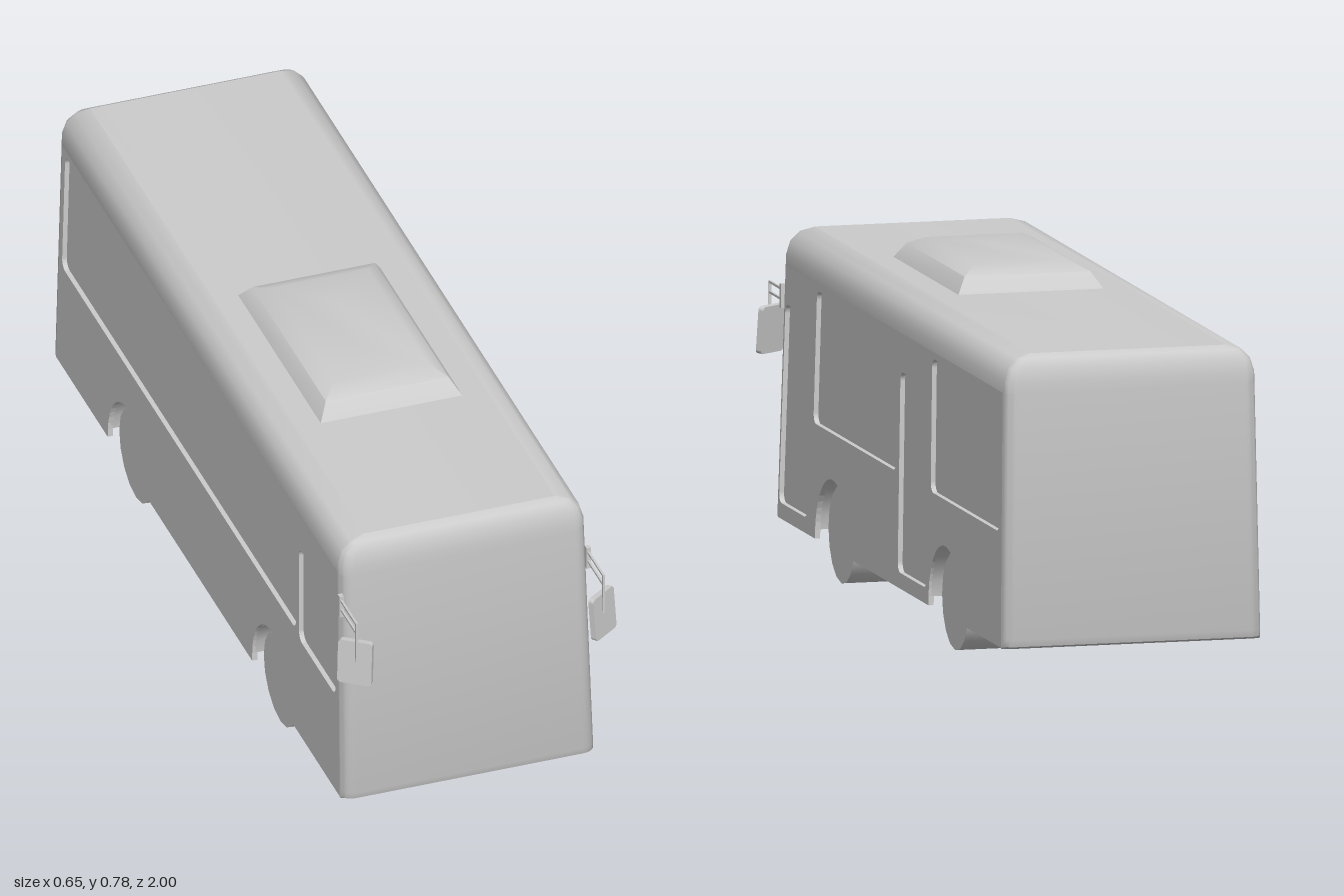
import * as THREE from 'three';
import { toCreasedNormals } from 'three/addons/utils/BufferGeometryUtils.js';

const HALF = 0.295, FRONT = 0.915, BACK = -1, BASE = 0.08, SHOULDER = 0.645, CORNER = 0.03;
const AXLES = [0.445, -0.5], ARCH_Y = 0.1, ARCH_R = 0.132;
const grey = new THREE.MeshStandardMaterial({ color: 0xcccccc, side: THREE.DoubleSide });

function add(parent, name, geometry) {
  const mesh = new THREE.Mesh(geometry, grey);
  mesh.name = name;
  parent.add(mesh);
  return mesh;
}

// Surface through rows of points
function strip(rows, crease = 0.7) {
  const n = rows[0].length, index = [];
  for (let r = 0; r < rows.length - 1; r++) {
    for (let i = 0; i < n - 1; i++) {
      const a = r * n + i, b = a + 1, c = a + n, d = c + 1;
      index.push(a, c, b, b, c, d);
    }
  }
  const g = new THREE.BufferGeometry();
  g.setAttribute('position', new THREE.Float32BufferAttribute(rows.flat(2), 3));
  g.setIndex(index);
  return toCreasedNormals(g, crease);
}

// The body leans inward slightly toward the roof
function lean(g) {
  const p = g.attributes.position;
  for (let i = 0; i < p.count; i++) {
    const t = (p.getY(i) - BASE) / 0.65, z = p.getZ(i);
    p.setX(i, p.getX(i) * (1 - 0.034 * t));
    p.setZ(i, z * (1 - (z > 0 ? 0.049 : 0.02) * t));
  }
  return g;
}

// Plan of one end of the body, from one side round to the other
function endPath(front, y, insetX, insetZ) {
  const s = front ? 1 : -1, end = front ? FRONT : -BACK, pts = [];
  for (let k = 0; k < 14; k++) {
    const a = (k < 7 ? k : k - 1) / 12 * Math.PI;
    const sx = k < 7 ? 1 : -1, ca = Math.cos(k < 7 ? a : Math.PI - a), sa = Math.sin(a);
    pts.push([
      s * sx * (HALF - insetX - CORNER + CORNER * ca), y,
      s * (end - CORNER + CORNER * sa - insetZ * sa)]);
  }
  return pts;
}

function roundedRect(Path, u0, u1, y0, y1, r = 0.022) {
  const p = new Path();
  p.moveTo(u0 + r, y0);
  p.lineTo(u1 - r, y0);
  p.absarc(u1 - r, y0 + r, r, -Math.PI / 2, 0);
  p.lineTo(u1, y1 - r);
  p.absarc(u1 - r, y1 - r, r, 0, Math.PI / 2);
  p.lineTo(u0 + r, y1);
  p.absarc(u0 + r, y1 - r, r, Math.PI / 2, Math.PI);
  p.lineTo(u0, y0 + r);
  p.absarc(u0 + r, y0 + r, r, Math.PI, Math.PI * 1.5);
  return p;
}

// Side wall with wheel arches and recessed windows or doors
function sideWall(parent, side, panels) {
  const depth = 0.012, flat = (a, b) => [-side * a, -side * b].sort((p, q) => p - q);
  const [u0, u1] = flat(BACK + CORNER, FRONT - CORNER);
  const shape = new THREE.Shape();
  shape.moveTo(u0, BASE);
  for (const c of flat(...AXLES)) {
    shape.lineTo(c - ARCH_R, BASE);
    shape.lineTo(c - ARCH_R, ARCH_Y);
    shape.absarc(c, ARCH_Y, ARCH_R, Math.PI, 0, true);
    shape.lineTo(c + ARCH_R, BASE);
  }
  shape.lineTo(u1, BASE);
  shape.lineTo(u1, SHOULDER);
  shape.lineTo(u0, SHOULDER);
  const place = (g, x) => lean(g.translate(0, 0, x).rotateY(side * Math.PI / 2));
  for (const [name, z0, z1, y0, y1] of panels) {
    const [a, b] = flat(z0, z1);
    shape.holes.push(roundedRect(THREE.Path, a, b, y0, y1));
    const pane = new THREE.ShapeGeometry(roundedRect(THREE.Shape, a, b, y0, y1), 5);
    add(parent, name, place(pane, HALF - depth + 0.001));
  }
  const wall = new THREE.ExtrudeGeometry(shape, { depth, bevelEnabled: false, curveSegments: 12 });
  add(parent, side > 0 ? 'leftWall' : 'rightWall', place(wall, HALF - depth));
}

function mirrorArm(side) {
  const g = new THREE.Group();
  g.name = side > 0 ? 'leftMirror' : 'rightMirror';
  const box = (name, w, h, d, x, y, z) =>
    add(g, name, new THREE.BoxGeometry(w, h, d)).position.set(side * x, y, z);
  box('mirrorBracket', 0.01, 0.054, 0.012, 0.288, 0.574, 0.873);
  box('upperRod', 0.005, 0.005, 0.105, 0.288, 0.589, 0.925);
  box('lowerRod', 0.005, 0.005, 0.105, 0.288, 0.566, 0.925);
  box('mirrorStem', 0.005, 0.1, 0.005, 0.288, 0.541, 0.976);
  const plate = new THREE.ExtrudeGeometry(
    roundedRect(THREE.Shape, -0.039, 0.039, -0.053, 0.053, 0.009),
    { depth: 0.014, bevelEnabled: false, curveSegments: 3 });
  const mirror = add(g, 'mirrorPlate', plate.translate(0, 0, -0.007));
  mirror.rotation.set(-0.08, side * 0.62, 0, 'YXZ');
  mirror.position.set(side * 0.288, 0.486, 0.969);
  return g;
}

export function createModel() {
  const bus = new THREE.Group();
  bus.name = 'bus';

  // Front and back walls, curling under at the bottom edge
  for (const front of [true, false]) {
    const rows = [[0.02, 0.078], [0.005, 0.084], [0, 0.1], [0, SHOULDER]]
      .map(([inset, y]) => endPath(front, y, 0, inset));
    add(bus, front ? 'frontWall' : 'backWall', lean(strip(rows)));
  }

  // Rounded roof, closed toward its centre line
  const rings = [[0, SHOULDER], [0, 0.67], [0.009, 0.7], [0.03, 0.721], [0.065, 0.73]].map(([inset, y]) => {
    const ring = [true, false].flatMap(f => endPath(f, y, inset, inset * 0.45));
    return [...ring, ring[0]];
  });
  rings.push(rings.at(-1).map(([, y, z]) => [0, y, z]));
  add(bus, 'roof', lean(strip(rings)));

  // Side walls: windows on the right, windows and two doors on the left
  sideWall(bus, -1, [
    ['driverWindow', 0.62, 0.865, 0.322, 0.555],
    ['rightWindow', -0.95, 0.6, 0.334, 0.63]]);
  sideWall(bus, 1, [
    ['rearLeftWindow', -0.95, -0.375, 0.334, 0.63],
    ['rearDoor', -0.35, -0.11, 0.115, 0.56],
    ['middleLeftWindow', -0.085, 0.615, 0.334, 0.63],
    ['frontDoor', 0.645, 0.88, 0.115, 0.56]]);

  // Wheel rollers and arch liners running across the body
  for (const z of AXLES) {
    const wheel = new THREE.CylinderGeometry(0.108, 0.108, 0.547, 16).rotateZ(Math.PI / 2);
    add(bus, 'wheelPair', wheel).position.set(-0.003, 0.108, z);
    const liner = [-0.288, 0.288].map(x => Array.from({ length: 13 }, (_, i) => {
      const a = i / 12 * Math.PI;
      return [x, ARCH_Y + ARCH_R * Math.sin(a), z + ARCH_R * Math.cos(a)];
    }));
    add(bus, 'archLiner', strip(liner));
  }

  // Roof unit from shrinking rectangles
  const unit = [[0, 0.727], [0.024, 0.765], [0.056, 0.783], [0.167, 0.783]].map(([d, y]) => {
    const w = 0.167 - d, e = d > 0.1 ? 0.18 : d * 1.33;
    return [[w, y, -0.145 + e], [w, y, 0.4 - e], [-w, y, 0.4 - e], [-w, y, -0.145 + e], [w, y, -0.145 + e]];
  });
  add(bus, 'roofUnit', strip(unit, 0.75));

  bus.add(mirrorArm(1), mirrorArm(-1));
  return bus;
}
